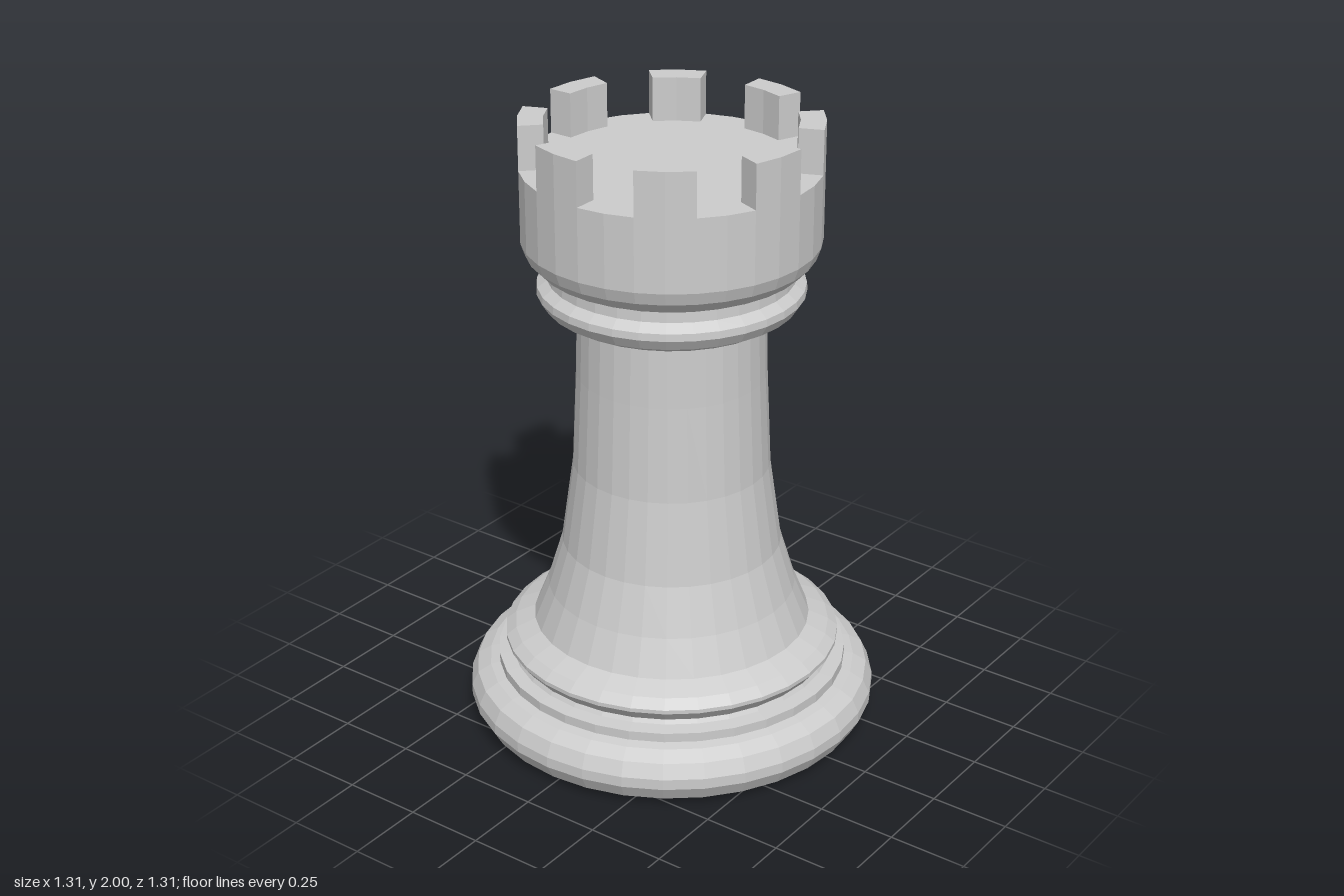
import * as THREE from 'three';

const SIDES = 32;
const FLOOR_Y = 1.86, TOP_Y = 2;
const HEAD_R = 0.457, INNER_R = 0.38;
const material = new THREE.MeshStandardMaterial({ color: 0xcccccc, flatShading: true });

// Turned part from [radius, height] pairs, listed bottom to top
function turned(name, profile) {
  const points = profile.map(([r, y]) => new THREE.Vector2(r, y));
  const mesh = new THREE.Mesh(new THREE.LatheGeometry(points, SIDES), material);
  mesh.name = name;
  return mesh;
}

// Battlement block: a ring sector two facets wide, extruded upwards
function battlementGeometry() {
  const step = (Math.PI * 2) / SIDES;
  const at = (r, i) => new THREE.Vector2(r * Math.cos(i * step), r * Math.sin(i * step));
  const shape = new THREE.Shape([
    at(HEAD_R, -2), at(HEAD_R, -1), at(HEAD_R, 0),
    at(INNER_R, 0), at(INNER_R, -1), at(INNER_R, -2),
  ]);
  const geometry = new THREE.ExtrudeGeometry(shape, { depth: TOP_Y - FLOOR_Y, bevelEnabled: false });
  return geometry.rotateX(-Math.PI / 2).translate(0, FLOOR_Y, 0);
}

export function createModel() {
  const rook = new THREE.Group();
  rook.name = 'rook';

  // Rounded foot with a thin step on top
  rook.add(turned('base', [
    [0, 0], [0.585, 0], [0.625, 0.025], [0.653, 0.075], [0.653, 0.11],
    [0.632, 0.155], [0.59, 0.18], [0.56, 0.187], [0.56, 0.217], [0.515, 0.222],
  ]));

  // Flared ring above the groove
  rook.add(turned('lowerRing', [
    [0.515, 0.222], [0.507, 0.235], [0.536, 0.272], [0.536, 0.285], [0.505, 0.31], [0.442, 0.338],
  ]));

  // Tapering column
  rook.add(turned('shaft', [
    [0.442, 0.338], [0.395, 0.455], [0.348, 0.61], [0.31, 0.88], [0.296, 1.19], [0.29, 1.405],
  ]));

  // Rounded collar under the head
  rook.add(turned('collar', [
    [0.29, 1.405], [0.355, 1.407], [0.39, 1.427], [0.412, 1.462], [0.41, 1.485],
    [0.38, 1.508], [0.378, 1.54],
  ]));

  // Drum-shaped head with a closed floor
  rook.add(turned('head', [
    [0.378, 1.54], [0.41, 1.555], [0.443, 1.59], [HEAD_R, 1.63], [HEAD_R, FLOOR_Y], [0, FLOOR_Y],
  ]));

  // Eight battlements around the rim
  const battlements = new THREE.Group();
  battlements.name = 'battlements';
  const block = battlementGeometry();
  for (let i = 0; i < 8; i++) {
    const mesh = new THREE.Mesh(block, material);
    mesh.name = 'battlement';
    mesh.rotation.y = (i * Math.PI) / 4;
    battlements.add(mesh);
  }
  rook.add(battlements);

  return rook;
}
